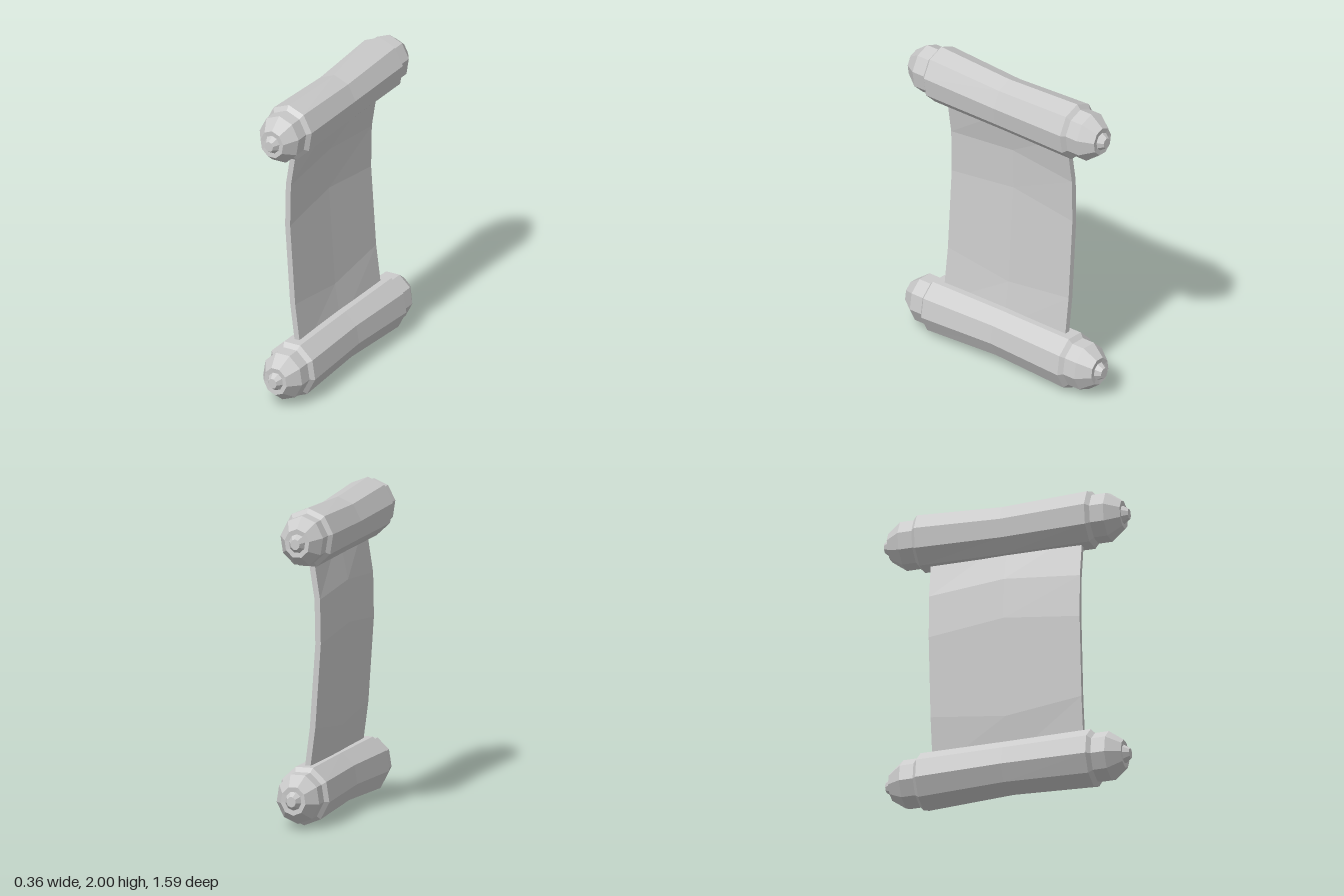
import * as THREE from 'three';

const material = new THREE.MeshStandardMaterial({ color: 0xcccccc, flatShading: true });

// Half profile of a roller from its middle to its tip: [radius, distance along the axis]
const HALF = [
  [0.188, 0], [0.188, 0.555], [0.159, 0.58], [0.159, 0.67],
  [0.092, 0.76], [0.06, 0.757], [0.034, 0.796], [0, 0.796],
];

// Nine-sided roller along z, its ridge pointing up (dir = 1) or down (dir = -1)
function makeRoller(name, x, y, dir) {
  const mirrored = HALF.slice(1).reverse().map(([r, d]) => [r, -d]);
  const profile = [...mirrored, ...HALF].map(([r, d]) => new THREE.Vector2(r, d));
  const geometry = new THREE.LatheGeometry(profile, 9);
  geometry.rotateX(-dir * Math.PI / 2);
  geometry.scale(0.894, 1, 1);

  // Narrow the waist towards the flat side, where the sheet comes out
  const p = geometry.attributes.position;
  const flat = -dir * 0.177;
  for (let i = 0; i < p.count; i++) {
    if (Math.abs(p.getZ(i)) > 0.01) continue;
    p.setX(i, p.getX(i) * 0.92);
    p.setY(i, flat + (p.getY(i) - flat) * 0.93);
  }
  geometry.computeVertexNormals();

  const mesh = new THREE.Mesh(geometry, material);
  mesh.name = name;
  mesh.position.set(x, y, 0);
  return mesh;
}

// Curved sheet between the rollers, bulging slightly along its middle
function makeSheet() {
  // Rows from top to bottom: edge x, edge y, middle x, middle y
  const rows = [
    [0.0, 1.75, 0.0, 1.75],
    [-0.053, 1.415, -0.063, 1.458],
    [-0.058, 1.135, -0.07, 1.19],
    [-0.022, 0.605, -0.026, 0.54],
    [0.024, 0.25, 0.02, 0.25],
  ];
  const geometry = new THREE.BoxGeometry(0.036, 1, 0.985, 1, rows.length - 1, 2);
  const p = geometry.attributes.position;
  for (let i = 0; i < p.count; i++) {
    const row = rows[Math.round((0.5 - p.getY(i)) * (rows.length - 1))];
    const k = Math.abs(p.getZ(i)) < 0.01 ? 2 : 0;
    p.setX(i, p.getX(i) + row[k]);
    p.setY(i, row[k + 1]);
  }
  geometry.computeVertexNormals();
  const mesh = new THREE.Mesh(geometry, material);
  mesh.name = 'sheet';
  return mesh;
}

export function createModel() {
  const scroll = new THREE.Group();
  scroll.name = 'scroll';
  scroll.add(
    makeRoller('topRoller', -0.014, 1.812, 1),
    makeRoller('bottomRoller', 0.011, 0.19, -1),
    makeSheet(),
  );
  return scroll;
}
